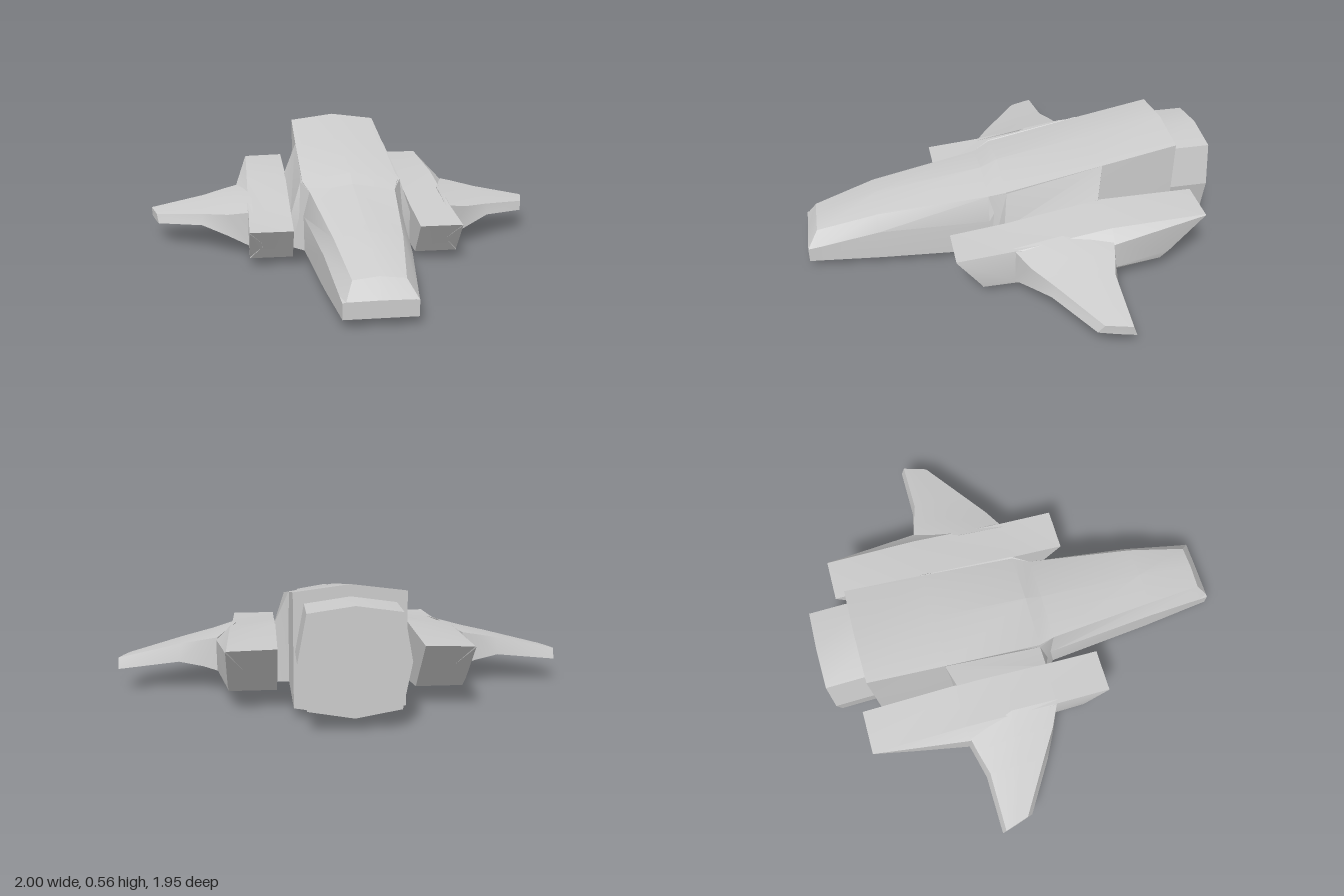
import * as THREE from 'three';
import { toCreasedNormals } from 'three/addons/utils/BufferGeometryUtils.js';

const material = new THREE.MeshStandardMaterial({ color: 0xcccccc });

// Skin a closed solid through rings of [x, y, z] points, with both ends capped.
function loft(name, rings, crease = 0.35) {
  const n = rings[0].length;
  const points = rings.flat().map(p => new THREE.Vector3(...p));
  const index = [];
  for (let r = 0; r < rings.length - 1; r++) {
    for (let i = 0; i < n; i++) {
      const a = r * n + i, b = r * n + (i + 1) % n;
      index.push(a, b, b + n, a, b + n, a + n);
    }
  }
  // Each cap is a fan around the ring's centre.
  const cap = (start, flip) => {
    const centre = new THREE.Vector3();
    for (let i = 0; i < n; i++) centre.addScaledVector(points[start + i], 1 / n);
    const c = points.push(centre) - 1;
    for (let i = 0; i < n; i++) {
      const a = start + i, b = start + (i + 1) % n;
      index.push(c, flip ? a : b, flip ? b : a);
    }
  };
  cap(0, false);
  cap((rings.length - 1) * n, true);

  // Turn the faces outward if the enclosed volume comes out negative.
  let volume = 0;
  const cross = new THREE.Vector3();
  for (let i = 0; i < index.length; i += 3) {
    cross.crossVectors(points[index[i + 1]], points[index[i + 2]]);
    volume += points[index[i]].dot(cross);
  }
  if (volume < 0) index.reverse();

  const geometry = new THREE.BufferGeometry().setFromPoints(points);
  geometry.setIndex(index);
  const mesh = new THREE.Mesh(toCreasedNormals(geometry, crease), material);
  mesh.name = name;
  return mesh;
}

// Complete a half outline (bottom centre to top centre) into a symmetric ring.
function symmetricRing(z, half) {
  const right = half.slice(1, -1).reverse().map(([x, y]) => [-x, y]);
  return [...half, ...right].map(([x, y]) => [x, y, z]);
}

export function createModel() {
  const model = new THREE.Group();

  // Fuselage: z, keel y, side x, lower edge y, shoulder x, shoulder y, ridge y
  const stations = [
    [0.97, 0.04, 0.155, 0.11, 0.14, 0.113, 0.115],
    [0.92, 0.04, 0.160, 0.12, 0.11, 0.185, 0.198],
    [0.63, 0.04, 0.192, 0.19, 0.15, 0.265, 0.29],
    [0.11, 0.04, 0.235, 0.21, 0.207, 0.335, 0.367],
    [0.03, 0.04, 0.238, 0.22, 0.235, 0.366, 0.405],
    [-0.42, 0.04, 0.238, 0.30, 0.235, 0.455, 0.487],
    [-0.79, 0.0, 0.232, 0.30, 0.232, 0.525, 0.555],
  ];
  model.add(loft('fuselage', stations.map(([z, keel, side, low, sx, sy, ridge]) =>
    symmetricRing(z, [[0, keel], [side, 0.04], [side, low], [sx, sy], [0, ridge]]))));

  // Engine block behind the fuselage
  const engine = [[0, 0.055], [0.188, 0.088], [0.225, 0.28], [0.188, 0.478], [0, 0.505]];
  model.add(loft('engine', [symmetricRing(-0.7, engine), symmetricRing(-0.977, engine)]));

  for (const [label, s] of [['left', 1], ['right', -1]]) {
    const add = (name, rings, crease) =>
      model.add(loft(label + name, rings.map(ring => ring.map(([x, y, z]) => [s * x, y, z])), crease));

    // Sloped fairing joining fuselage and pod
    add('Fairing', [
      [[0.235, 0.04, 0.11], [0.297, 0.04, 0.045], [0.297, 0.2, 0.05], [0.245, 0.365, 0.03], [0.207, 0.335, 0.11]],
      [[0.2, 0.04, -0.42], [0.297, 0.04, -0.41], [0.3, 0.31, -0.4], [0.237, 0.458, -0.43], [0.2, 0.42, -0.43]],
    ]);

    // Pod ring: inner bottom, inner top, upper edge, outer upper, outer lower, lower edge
    const podRing = (zb, yb, zt, yi, ye, xo, yu, yl, zu = zt, zl = zb) => [
      [0.297, yb, zb], [0.297, yi, zt], [0.5, ye, zt],
      [xo, yu, zu], [xo, yl, zl], [0.5, yb, zb],
    ];
    add('Pod', [
      podRing(0.19, 0.04, 0.31, 0.203, 0.203, 0.501, 0.2, 0.045),
      podRing(0.04, 0.04, 0.04, 0.235, 0.225, 0.502, 0.21, 0.05),
      podRing(-0.41, 0.042, -0.41, 0.31, 0.29, 0.56, 0.24, 0.105),
      podRing(-0.66, 0.08, -0.86, 0.31, 0.305, 0.503, 0.3, 0.12, -0.86, -0.7),
    ]);

    // Swept wing: front bottom, front top, mid top, rear top, rear bottom, mid bottom
    add('Wing', [
      [[0.48, 0.045, 0.05], [0.48, 0.225, 0.05], [0.48, 0.265, -0.18],
        [0.555, 0.25, -0.405], [0.555, 0.10, -0.42], [0.48, 0.045, -0.2]],
      [[0.6, 0.092, -0.005], [0.6, 0.2, -0.01], [0.6, 0.235, -0.2],
        [0.62, 0.237, -0.39], [0.62, 0.118, -0.405], [0.6, 0.09, -0.2]],
      [[0.73, 0.132, -0.075], [0.73, 0.185, -0.095], [0.73, 0.205, -0.23],
        [0.73, 0.212, -0.36], [0.73, 0.135, -0.38], [0.73, 0.13, -0.23]],
      [[0.955, 0.107, -0.22], [0.965, 0.15, -0.245], [0.985, 0.154, -0.31],
        [1, 0.155, -0.36], [1, 0.107, -0.378], [0.98, 0.107, -0.3]],
    ], 0.6);
  }

  return model;
}
